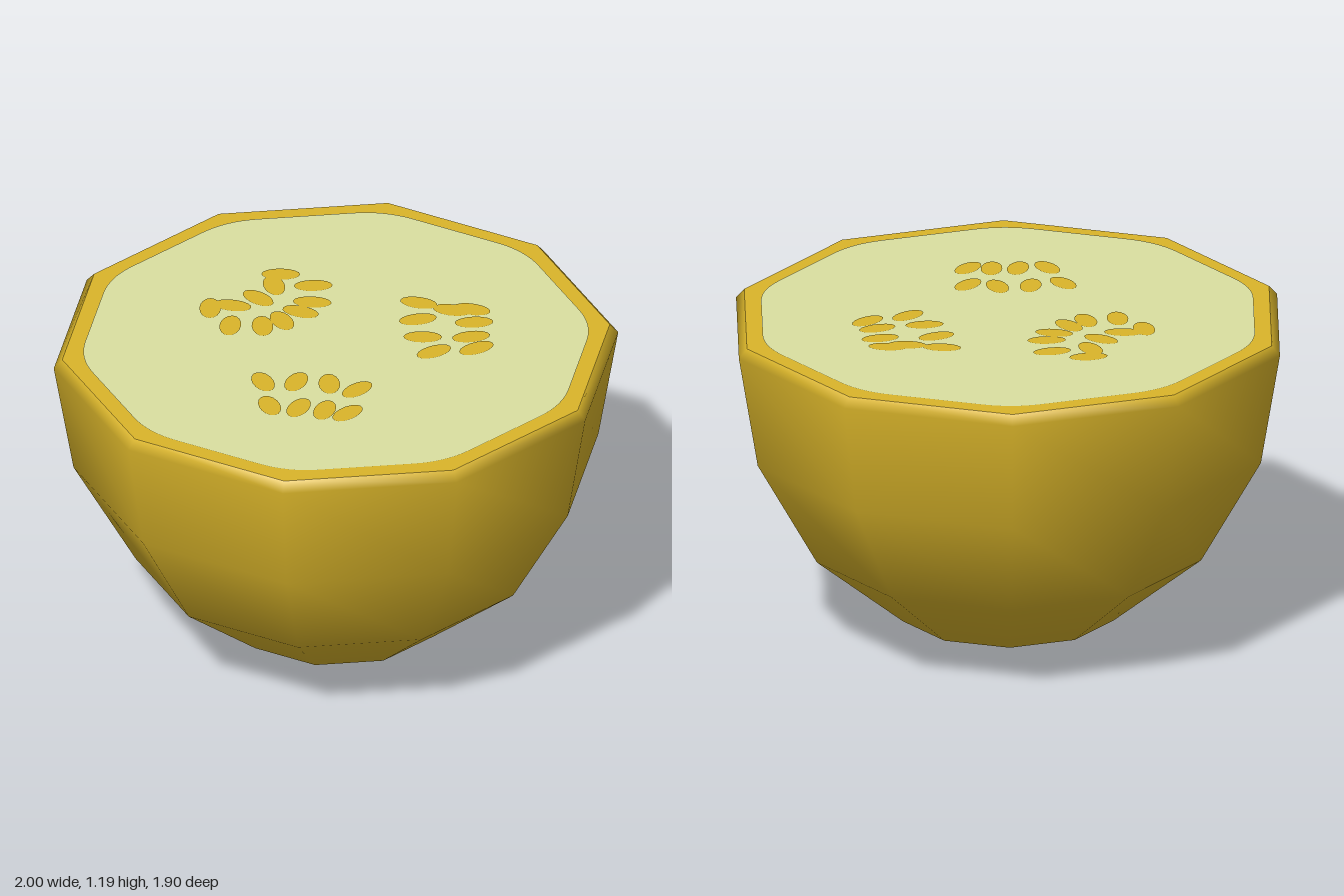
import * as THREE from 'three';

const SIDES = 10;
const TOP = 1.184;

function material(name, color) {
  const m = new THREE.MeshStandardMaterial({ color });
  m.name = name;
  return m;
}

// Ten-sided turned solid with a corner on the x axis
function turned(profile) {
  const pts = profile.map(([r, y]) => new THREE.Vector2(r, y));
  return new THREE.LatheGeometry(pts, SIDES, Math.PI / 2, Math.PI * 2);
}

// Decagon outline, optionally with rounded corners
function decagon(radius, rounding) {
  const shape = new THREE.Shape();
  const corner = (i) => new THREE.Vector2(radius, 0)
    .rotateAround(new THREE.Vector2(), (i / SIDES) * Math.PI * 2);
  for (let i = 0; i < SIDES; i++) {
    const c = corner(i);
    const a = c.clone().lerp(corner(i - 1), rounding);
    const b = c.clone().lerp(corner(i + 1), rounding);
    if (i === 0) shape.moveTo(a.x, a.y);
    else shape.lineTo(a.x, a.y);
    if (rounding > 0) shape.quadraticCurveTo(c.x, c.y, b.x, b.y);
  }
  shape.closePath();
  return shape;
}

export function createModel() {
  const group = new THREE.Group();
  const rind = material('yellow rind', 0xdab52a);
  const flesh = material('pale green flesh', 0xdae0a0);
  const brown = material('brown tip', 0x74410f);

  function add(name, geometry, mat, parent = group) {
    const mesh = new THREE.Mesh(geometry, mat);
    mesh.name = name;
    parent.add(mesh);
    return mesh;
  }
  const flat = (shape, y) => new THREE.ShapeGeometry(shape, 8).rotateX(-Math.PI / 2).translate(0, y, 0);

  // Rounded bowl of the rind and the blossom-end scar below it
  add('rind', turned([[0.27, 0.063], [0.39, 0.09], [0.71, 0.35], [0.93, 0.74], [1, 1.15], [0.97, TOP]]), rind);
  add('blossomEnd', turned([[0, 0], [0.27, 0.063]]), brown);

  // Cut face: rind ring with the flesh laid on it
  add('rindCutFace', flat(decagon(0.97, 0), TOP), rind);
  add('flesh', flat(decagon(0.91, 0.2), TOP + 0.003), flesh);

  // Seeds: x, z and long-axis tilt in degrees (counter-clockwise seen from above)
  const backHalf = [
    [-0.17, -0.465, 45], [-0.1, -0.425, -58], [-0.2, -0.33, 40], [-0.12, -0.25, 50], [-0.045, -0.23, 68],
  ];
  const clusters = {
    backSeeds: [[0, -0.4, 90], ...backHalf, ...backHalf.map(([x, z, a]) => [-x, z, -a])],
    rightSeeds: [
      [-0.38, 0.03, 65], [-0.295, 0.11, 28], [-0.475, 0.165, 62], [-0.22, 0.2, 50],
      [-0.41, 0.245, 25], [-0.355, 0.32, 32], [-0.175, 0.295, 5], [-0.31, 0.39, 5],
    ],
    leftSeeds: [
      [0.39, 0.01, -62], [0.31, 0.09, -28], [0.24, 0.19, -45], [0.2, 0.29, -10], [0.325, 0.375, -10],
      [0.365, 0.305, -30], [0.44, 0.24, -38], [0.44, 0.125, -60], [0.495, 0.17, -62],
    ],
  };
  const seedShape = new THREE.Shape();
  seedShape.absellipse(0, 0, 0.068, 0.038, 0, Math.PI * 2);
  const seedGeometry = flat(seedShape, 0);
  for (const [name, seeds] of Object.entries(clusters)) {
    const cluster = new THREE.Group();
    cluster.name = name;
    group.add(cluster);
    for (const [x, z, tilt] of seeds) {
      const seed = add('seed', seedGeometry, rind, cluster);
      seed.position.set(x, TOP + 0.006, z);
      seed.rotation.y = THREE.MathUtils.degToRad(tilt);
    }
  }
  return group;
}
